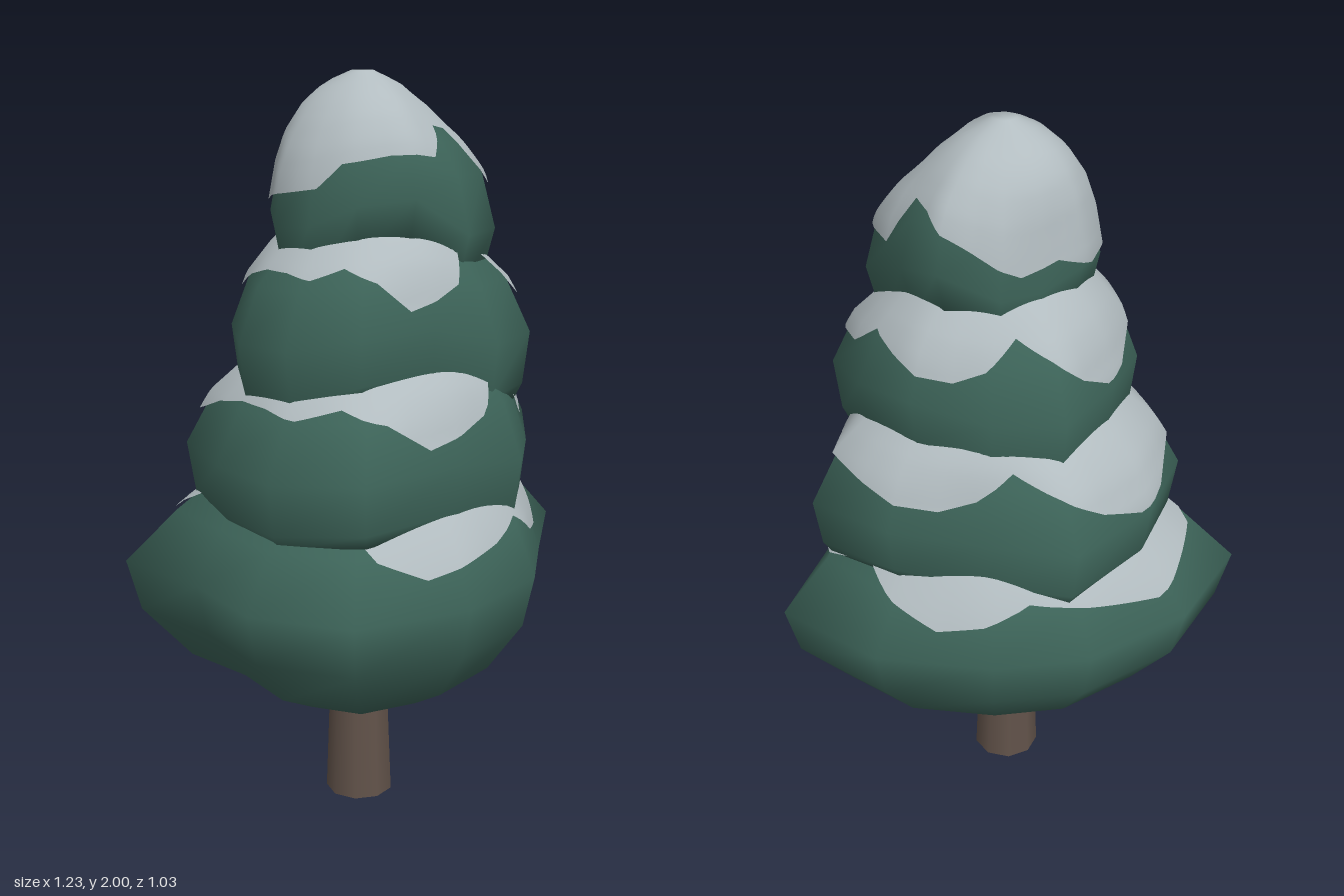
import * as THREE from 'three';

const RAD = Math.PI / 180;

// Directions of the twelve corners of every bough, from +x towards +z,
// and how far the hanging rim rises or droops at each
const ANGLES = [0, 29, 59, 93, 126, 154, 181, 206, 235, 268, 297, 330];
const DROOP = [0.01, -0.05, -0.05, 0.045, 0.03, -0.02, -0.03, 0, 0.01, -0.02, -0.02, 0.045];

// Side profiles: [height fraction from rim to top, scale]
const SKIRT = [[0, 0.25], [0.06, 0.5], [0.16, 0.74], [0.35, 0.94], [0.54, 1], [0.73, 0.85], [1, 0.5]];
const BOUGH = [[0, 0.91], [0.08, 0.96], [0.35, 1], [0.63, 0.86], [0.79, 0.69], [1, 0.4]];
const DOME = [[0, 0.88], [0.29, 1], [0.55, 0.9], [0.7, 0.79], [0.84, 0.6], [0.94, 0.37], [1, 0.1]];

// Lower edge of the snow above the rim, every 15 degrees
const SKIRT_SNOW = [0.55, 0.52, 0.47, 0.49, 0.56, 0.52, 0.5, 0.48, 0.53, 0.65, 0.65, 0.65,
  0.65, 0.64, 0.53, 0.5, 0.47, 0.5, 0.53, 0.55, 0.5, 0.48, 0.53, 0.58];
const BOUGH_SNOW = [0.31, 0.24, 0.23, 0.45, 0.39, 0.29, 0.26, 0.24, 0.31, 0.34, 0.31, 0.32,
  0.32, 0.3, 0.25, 0.2, 0.19, 0.23, 0.3, 0.35, 0.28, 0.25, 0.26, 0.28];
const DOME_SNOW = [0.32, 0.19, 0.2, 0.34, 0.35, 0.28, 0.29, 0.29, 0.28, 0.27, 0.21, 0.2,
  0.19, 0.18, 0.16, 0.15, 0.17, 0.19, 0.18, 0.17, 0.2, 0.24, 0.28, 0.31];

// Boughs from bottom to top, with the corner radius in each direction
const TIERS = [
  { name: 'lowerFoliage', x: -0.03, z: 0, base: 0.31, top: 1.05, droop: 0, under: 0, profile: SKIRT, snow: SKIRT_SNOW,
    mean: 0.54, radii: [0.64, 0.48, 0.49, 0.515, 0.58, 0.57, 0.52, 0.66, 0.575, 0.52, 0.5, 0.56] },
  { name: 'middleFoliage', x: 0, z: 0, base: 0.86, top: 1.36, droop: 0.6, under: 0.15, profile: BOUGH, snow: BOUGH_SNOW,
    mean: 0.47, radii: [0.505, 0.412, 0.42, 0.415, 0.53, 0.517, 0.48, 0.51, 0.483, 0.487, 0.39, 0.443] },
  { name: 'upperFoliage', x: -0.02, z: 0, base: 1.19, top: 1.66, droop: 1.1, under: 0.15, profile: BOUGH, snow: BOUGH_SNOW,
    mean: 0.37, radii: [0.38, 0.43, 0.365, 0.325, 0.385, 0.4, 0.39, 0.365, 0.34, 0.375, 0.335, 0.363] },
  { name: 'topFoliage', x: -0.035, z: -0.01, base: 1.51, top: 1.99, droop: 1.5, under: 0.15, profile: DOME, snow: DOME_SNOW,
    mean: 0.245, radii: [0.275, 0.348, 0.3, 0.265, 0.255, 0.26, 0.262, 0.24, 0.22, 0.205, 0.235, 0.28] },
];

// Scale of a profile at height fraction t
function scaleAt(profile, t) {
  const i = Math.max(1, profile.findIndex(([knot]) => knot >= t));
  const [a, va] = profile[i - 1], [b, vb] = profile[i];
  return THREE.MathUtils.mapLinear(t, a, b, va, vb);
}

// Outline corner relative to the trunk line, with y as the rim height
function corner(tier, i) {
  const angle = ANGLES[i] * RAD, r = tier.radii[i];
  return new THREE.Vector3(Math.cos(angle) * r, tier.base + DROOP[i] * tier.droop, Math.sin(angle) * r);
}

// Outline at any angle, along the straight edge between two corners
function outlineAt(tier, degrees) {
  const d = (degrees + 360) % 360, n = ANGLES.length;
  const i = ANGLES.findLastIndex((a) => a <= d), j = (i + 1) % n;
  const next = j === 0 ? 360 : ANGLES[j];
  const u = tier.radii[i] * Math.sin((d - ANGLES[i]) * RAD);
  const v = tier.radii[j] * Math.sin((next - d) * RAD);
  return corner(tier, i).lerp(corner(tier, j), u / (u + v));
}

// Point on a tier from an outline point, its scale and its height fraction;
// the outline grows rounder towards the top
function place(tier, p, scale, t) {
  const round = THREE.MathUtils.smoothstep(t, 0.5, 1);
  const s = scale * THREE.MathUtils.lerp(1, tier.mean / Math.hypot(p.x, p.z), round);
  return new THREE.Vector3(tier.x + p.x * s, p.y + (tier.top - p.y) * t, tier.z + p.z * s);
}

// Closed rings, listed from bottom to top, joined into one surface
function joinRings(rings) {
  const n = rings[0].length, index = [];
  for (let r = 0; r < rings.length - 1; r++) {
    for (let i = 0; i < n; i++) {
      const a = r * n + i, b = r * n + (i + 1) % n;
      index.push(a, a + n, b, b, a + n, b + n);
    }
  }
  const geometry = new THREE.BufferGeometry().setFromPoints(rings.flat());
  geometry.setIndex(index);
  geometry.computeVertexNormals();
  return geometry;
}

// Green bough with its underside
function foliageGeometry(tier) {
  const rows = [[tier.under, 0.01], ...tier.profile, [1, 0.01]];
  return joinRings(rows.map(([t, s]) => ANGLES.map((_, i) => place(tier, corner(tier, i), s, t))));
}

// Thin snow shell lying on the bough, with an uneven lower edge
function snowGeometry(tier) {
  const columns = 96, rows = 16, perStep = columns / tier.snow.length;
  const rings = [], normals = [];
  const surface = (degrees, t) => place(tier, outlineAt(tier, degrees), scaleAt(tier.profile, t), t);
  for (let r = 0; r <= rows; r++) {
    const ring = [];
    for (let i = 0; i < columns; i++) {
      const degrees = (i / columns) * 360, rim = outlineAt(tier, degrees).y;
      const step = Math.floor(i / perStep);
      const height = THREE.MathUtils.lerp(tier.snow[step], tier.snow[(step + 1) % tier.snow.length], (i % perStep) / perStep);
      const start = THREE.MathUtils.clamp((tier.base + height - rim) / (tier.top - rim), 0.1, 0.98);
      const t = THREE.MathUtils.lerp(start, 1, r / rows);
      // broad differences keep the snow softly shaded
      const around = surface(degrees + 14, t).sub(surface(degrees - 14, t));
      const up = surface(degrees, Math.min(1, t + 0.1)).sub(surface(degrees, t - 0.1));
      const normal = up.cross(around).normalize();
      ring.push(surface(degrees, t).addScaledVector(normal, 0.01));
      normals.push(...normal);
    }
    rings.push(ring);
  }
  // close the tip
  const tip = new THREE.Vector3(tier.x, tier.top + 0.005, tier.z);
  rings.push(Array(columns).fill(tip));
  for (let i = 0; i < columns; i++) normals.push(0, 1, 0);
  const geometry = joinRings(rings);
  geometry.setAttribute('normal', new THREE.Float32BufferAttribute(normals, 3));
  return geometry;
}

export function createModel() {
  const model = new THREE.Group();
  model.name = 'snowyTree';
  const material = (name, color) => Object.assign(new THREE.MeshStandardMaterial({ color }), { name });
  const green = material('needleGreen', 0x3d6459);
  const white = material('snowWhite', 0xb2bcc0);
  const brown = material('barkBrown', 0x62534a);

  const add = (name, geometry, mat) => {
    const mesh = new THREE.Mesh(geometry, mat);
    mesh.name = name;
    model.add(mesh);
    return mesh;
  };

  // Trunk, tapering upwards
  const trunk = add('trunk', new THREE.CylinderGeometry(0.078, 0.094, 0.42, 9), brown);
  trunk.position.set(-0.05, 0.21, -0.01);

  // Boughs and the snow resting on them
  for (const tier of TIERS) {
    add(tier.name, foliageGeometry(tier), green);
    add(tier.name + 'Snow', snowGeometry(tier), white);
  }
  return model;
}
